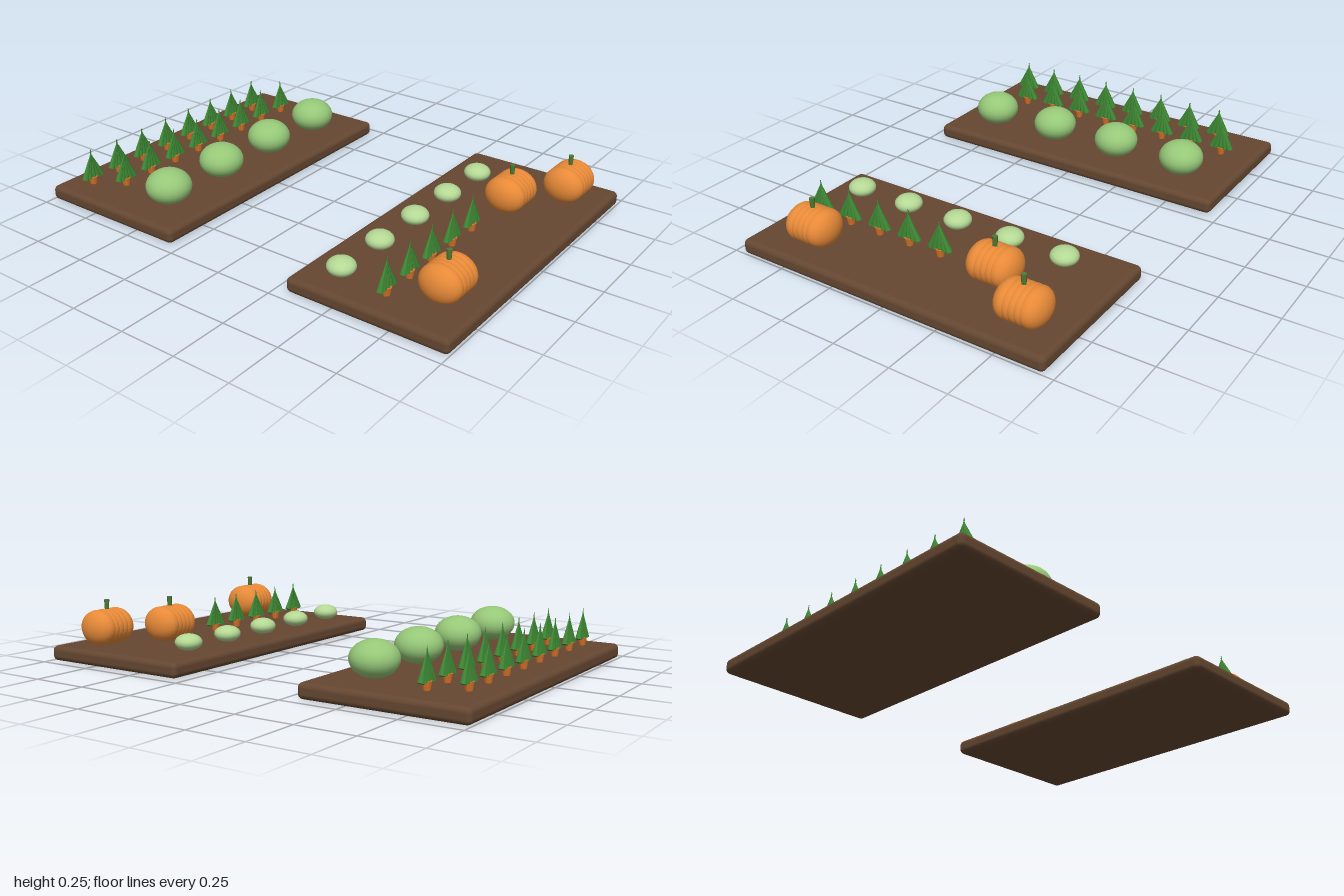
import * as THREE from 'three';
import { RoundedBoxGeometry } from 'three/addons/geometries/RoundedBoxGeometry.js';

const mat = (color) => new THREE.MeshStandardMaterial({ color });
const soil = mat(0x654731);
const cabbageGreen = mat(0x96c878);
const lettuceGreen = mat(0xb4d894);
const pumpkinOrange = mat(0xe88a38);
const carrotOrange = mat(0xd9742a);
const leafGreen = mat(0x3f8a35);
const stemGreen = mat(0x4f7a35);

const GROUND = 0.063;
const ball = new THREE.SphereGeometry(1, 24, 16);
const stemGeometry = new THREE.CylinderGeometry(0.011, 0.008, 0.07, 8);
const rootGeometry = new THREE.CylinderGeometry(0.021, 0.006, 0.085, 8);
const frondGeometry = new THREE.ConeGeometry(0.015, 0.13, 6);

function part(name, geometry, material, x, y, z) {
  const mesh = new THREE.Mesh(geometry, material);
  mesh.name = name;
  mesh.position.set(x, y, z);
  return mesh;
}

// Squashed round vegetable resting on the soil
function roundHead(name, material, x, z, radius, halfHeight) {
  const head = part(name, ball, material, x, GROUND + halfHeight - 0.002, z);
  head.scale.set(radius, halfHeight, radius);
  return head;
}

// Pumpkin made of overlapping lobes side by side, with a short stem
function pumpkin(x, z) {
  const group = new THREE.Group();
  group.name = 'pumpkin';
  for (let i = -2; i <= 2; i++) {
    const lobe = part('pumpkinLobe', ball, pumpkinOrange, i * 0.025, 0.138, 0);
    lobe.scale.set(0.057, 0.077, 0.089);
    group.add(lobe);
  }
  group.add(part('pumpkinStem', stemGeometry, stemGreen, 0, 0.22, 0));
  group.position.set(x, 0, z);
  return group;
}

// Carrot: tapered root half buried, fan of fronds crossing near their tips
function carrot(x, z) {
  const group = new THREE.Group();
  group.name = 'carrot';
  group.add(part('carrotRoot', rootGeometry, carrotOrange, 0, 0.055, 0));
  for (let i = -2; i <= 2; i++) {
    const y = 0.16 - 0.003 * Math.abs(i);
    const frond = part('carrotFrond', frondGeometry, leafGreen, i * 0.0095, y, 0);
    frond.rotation.z = i * 0.19;
    group.add(frond);
  }
  group.position.set(x, 0, z);
  return group;
}

// Evenly spaced row along x
function row(name, count, start, step, make) {
  const group = new THREE.Group();
  group.name = name;
  for (let i = 0; i < count; i++) group.add(make(start + i * step));
  return group;
}

export function createModel() {
  const model = new THREE.Group();
  model.name = 'vegetableGarden';

  // Soil beds
  const bedGeometry = new RoundedBoxGeometry(1.416, 0.064, 0.705, 4, 0.022);
  model.add(part('backBed', bedGeometry, soil, 0, 0.032, -0.6475));
  model.add(part('frontBed', bedGeometry, soil, 0, 0.032, 0.6475));

  // Back bed planting
  model.add(row('backCarrotRow', 8, -0.583, 0.1515, (x) => carrot(x, -0.876)));
  model.add(row('middleCarrotRow', 8, -0.508, 0.1515, (x) => carrot(x, -0.75)));
  model.add(row('cabbageRow', 4, -0.508, 0.328, (x) => roundHead('cabbage', cabbageGreen, x, -0.487, 0.098, 0.074)));

  // Front bed planting
  model.add(row('lettuceRow', 5, -0.56, 0.2525, (x) => roundHead('lettuce', lettuceGreen, x, 0.448, 0.058, 0.036)));
  model.add(row('frontCarrotRow', 5, -0.583, 0.1515, (x) => carrot(x, 0.665)));
  for (const [x, z] of [[0.3, 0.69], [0.528, 0.843], [-0.457, 0.843]]) model.add(pumpkin(x, z));

  return model;
}
